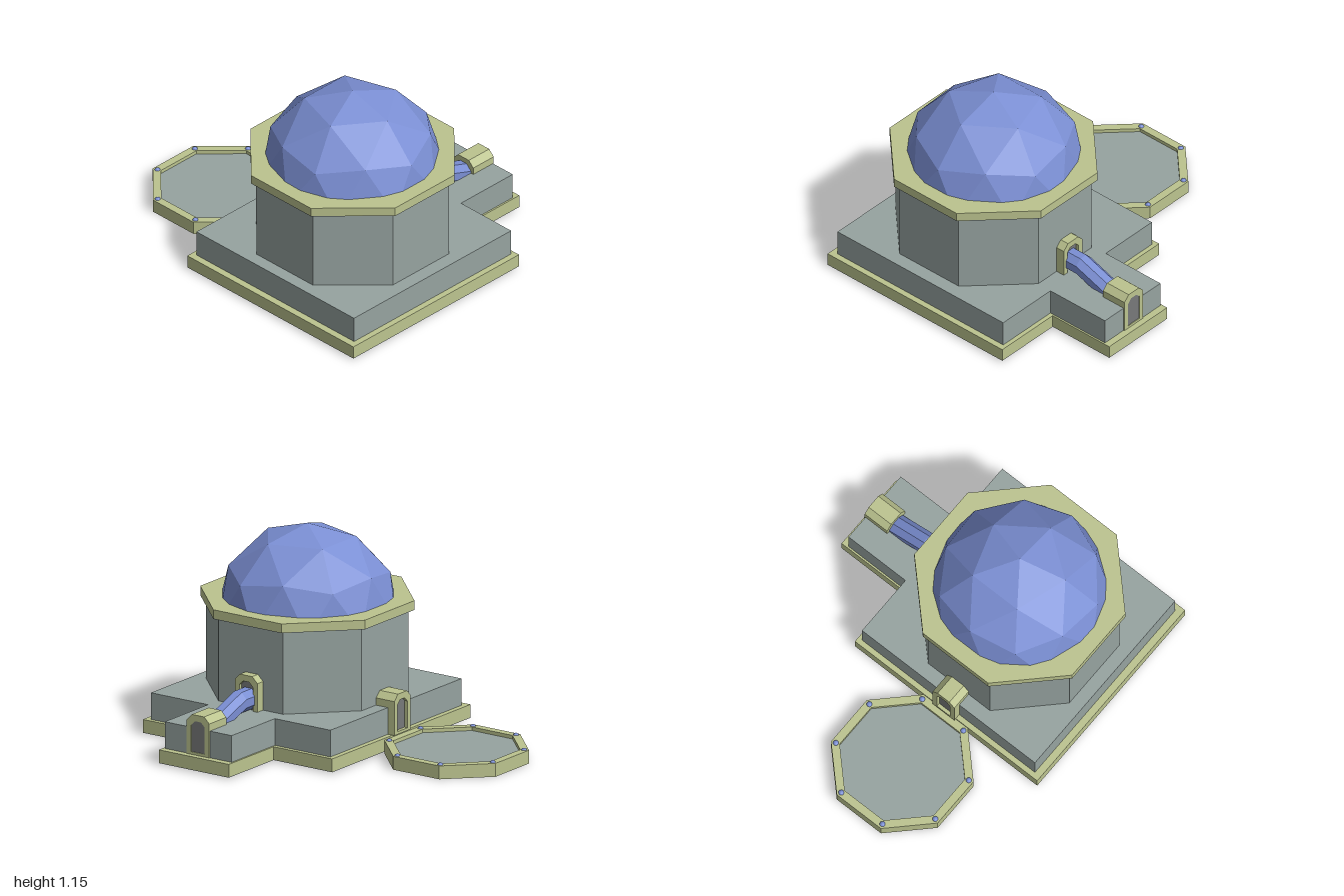
import * as THREE from 'three';

const mat = (color) => new THREE.MeshStandardMaterial({ color, flatShading: true });

export function createModel() {
  const root = new THREE.Group();
  const grey = mat(0x96a3a0), olive = mat(0xbcc48f), blue = mat(0x7b8fd4), dark = mat(0x77797a);

  const add = (name, geometry, material, x = 0, y = 0, z = 0, parent = root) => {
    const mesh = new THREE.Mesh(geometry, material);
    mesh.name = name;
    mesh.position.set(x, y, z);
    parent.add(mesh);
    return mesh;
  };
  const toShape = (pts) => new THREE.Shape(pts.map(([x, y]) => new THREE.Vector2(x, y)));
  const extrude = (pts, depth, hole) => {
    const shape = toShape(pts);
    if (hole) shape.holes.push(toShape(hole));
    return new THREE.ExtrudeGeometry(shape, { depth, bevelEnabled: false });
  };
  // Horizontal slab from a plan outline given as [x, -z]
  const slab = (name, pts, y0, y1, material, x = 0, z = 0, hole) =>
    add(name, extrude(pts, y1 - y0, hole).rotateX(-Math.PI / 2), material, x, y0, z);
  // Regular octagon with flat sides on the axes
  const octagon = (apothem) => Array.from({ length: 8 }, (_, i) => {
    const a = (i + 0.5) * Math.PI / 4, r = apothem / Math.cos(Math.PI / 8);
    return [r * Math.cos(a), r * Math.sin(a)];
  });

  // Stepped plinth: a square with a rear extension
  const plan = (x0, x1, zBack, zFront, ex0, ex1, ezBack) => [
    [x0, -zFront], [x1, -zFront], [x1, -zBack], [ex1, -zBack],
    [ex1, -ezBack], [ex0, -ezBack], [ex0, -zBack], [x0, -zBack]];
  const lower = plan(-0.26, 1, -0.43, 0.835, 0.13, 0.595, -0.84);
  const upper = plan(-0.23, 0.965, -0.405, 0.795, 0.14, 0.585, -0.80);
  slab('foundation', lower, 0.01, 0.013, grey);
  slab('plinthTrim', lower, 0.013, 0.085, olive);
  slab('plinth', upper, 0.085, 0.235, grey);

  // Octagonal hall and overhanging cornice
  const cx = 0.367, cz = 0.204;
  slab('hallWalls', octagon(0.518), 0.235, 0.70, grey, cx, cz);
  slab('corniceSoffit', octagon(0.548), 0.70, 0.703, grey, cx, cz);
  slab('cornice', octagon(0.548), 0.703, 0.752, olive, cx, cz);

  // Faceted dome: upper half of a subdivided icosahedron, one vertex on top
  const ico = new THREE.IcosahedronGeometry(0.5, 1)
    .rotateZ(-Math.atan(2 / (1 + Math.sqrt(5))));
  const p = ico.attributes.position, kept = [];
  for (let i = 0; i < p.count; i += 3) {
    if (p.getY(i) + p.getY(i + 1) + p.getY(i + 2) < 0.01) continue;
    for (let k = i; k < i + 3; k++) kept.push(p.getX(k), p.getY(k), p.getZ(k));
  }
  const domeGeo = new THREE.BufferGeometry();
  domeGeo.setAttribute('position', new THREE.Float32BufferAttribute(kept, 3));
  domeGeo.computeVertexNormals();
  add('dome', domeGeo, blue, cx, 0.648, cz);

  // Octagonal landing pad with a raised rim and corner lamps
  const px = -0.63, pz = 0.2;
  slab('padBase', octagon(0.37), 0, 0.02, olive, px, pz);
  slab('padRim', octagon(0.37), 0.02, 0.075, olive, px, pz, octagon(0.325));
  slab('padFloor', octagon(0.325), 0.02, 0.055, grey, px, pz);
  for (const [x, y] of octagon(0.345)) {
    add('padLamp', new THREE.SphereGeometry(0.017, 10, 8), blue, px + x, 0.069, pz - y);
  }

  // Doorways: chamfered frame facing local +z, with a recessed door panel
  const arch = (w, y0, y1, c) => [
    [-w, y0], [w, y0], [w, y1 - c], [w - c, y1], [-w + c, y1], [-w, y1 - c]];
  const doorway = (name, x, y, z, angle, depth, recess) => {
    const group = new THREE.Group();
    group.name = name;
    group.position.set(x, y, z);
    group.rotation.y = angle;
    root.add(group);
    const opening = arch(0.045, 0.015, 0.19, 0.025);
    add('doorFrame', extrude(arch(0.075, 0, 0.225, 0.034), depth, opening), olive, 0, 0, -depth, group);
    add('doorPanel', extrude(opening, depth - recess), dark, 0, 0, -depth, group);
  };
  doorway('padDoorway', -0.273, 0.085, 0.195, -Math.PI / 2, 0.13, 0.02);
  doorway('rearDoorway', 0.36, 0.085, -0.806, Math.PI, 0.156, 0.004);
  doorway('hallDoorway', 0.36, 0.205, -0.366, Math.PI, 0.07, 0.02);

  // Octagonal passage tube: level at the hall, then sloping down to the rear doorway
  const rings = [[-0.34, 0.298], [-0.44, 0.298], [-0.66, 0.22]];
  const tube = new THREE.CylinderGeometry(0.062, 0.062, 2, 8, 2, true)
    .rotateY(Math.PI / 8).rotateX(-Math.PI / 2);
  const t = tube.attributes.position;
  for (let i = 0; i < t.count; i++) {
    const [z, y] = rings[Math.round(1 + t.getZ(i))];
    t.setXYZ(i, t.getX(i), t.getY(i) + y, z);
  }
  tube.computeVertexNormals();
  const tubeMat = mat(0x7b8fd4);
  tubeMat.side = THREE.DoubleSide;
  add('passageTube', tube, tubeMat, 0.36);

  return root;
}
